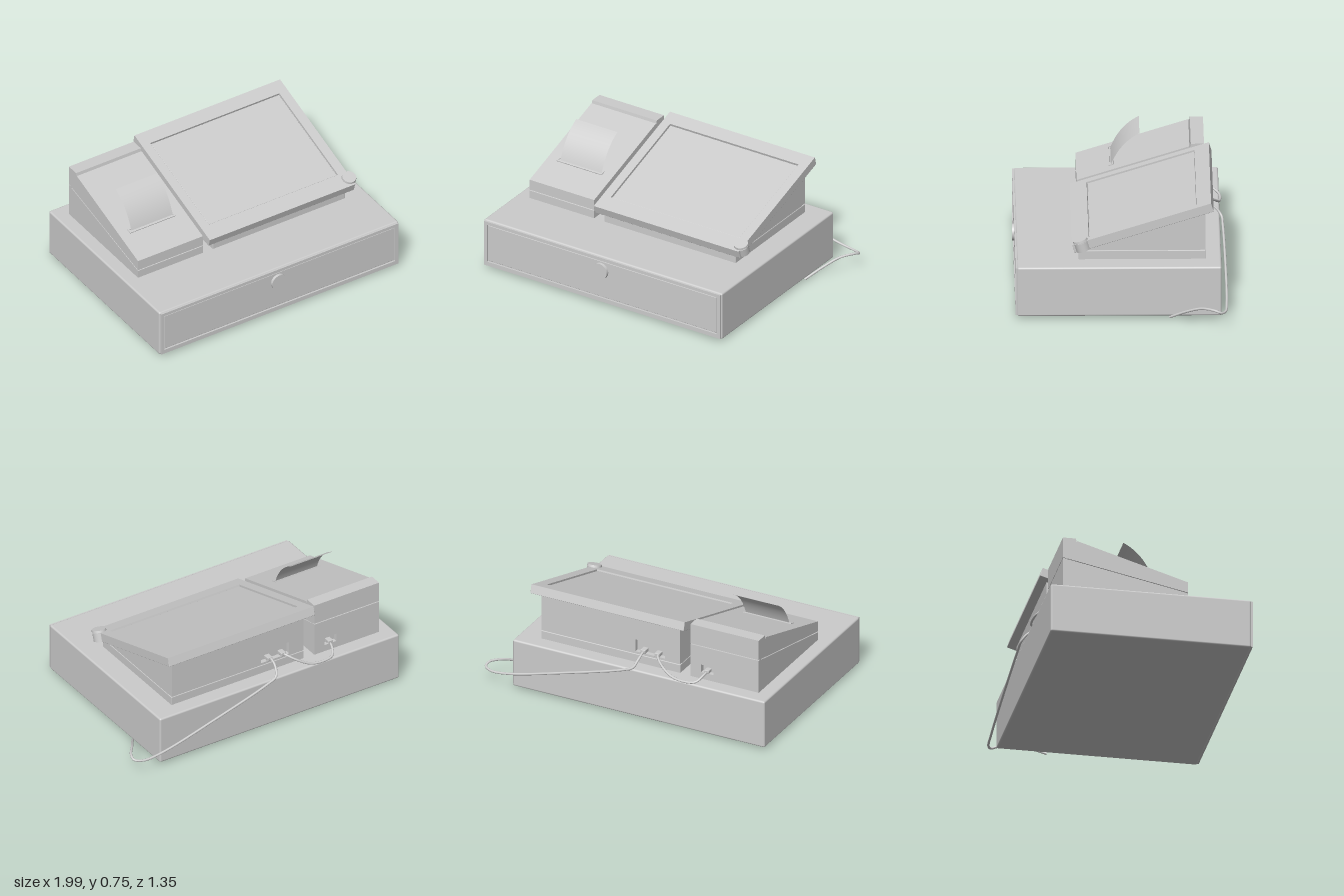
import * as THREE from 'three';
import { RoundedBoxGeometry } from 'three/addons/geometries/RoundedBoxGeometry.js';

const grey = new THREE.MeshStandardMaterial({ color: 0xcccccc });
const thin = new THREE.MeshStandardMaterial({ color: 0xcccccc, side: THREE.DoubleSide });
const tilt = Math.atan(0.314); // slope of screen and printer lid

function add(parent, name, geometry, material = grey) {
  const mesh = new THREE.Mesh(geometry, material);
  mesh.name = name;
  parent.add(mesh);
  return mesh;
}

function group(parent, name, x, y, z) {
  const g = new THREE.Group();
  g.name = name;
  g.position.set(x, y, z);
  parent.add(g);
  return g;
}

// Box given by its limits
function block(parent, name, [x0, x1], [y0, y1], [z0, z1], r = 0.004) {
  const mesh = add(parent, name, new RoundedBoxGeometry(x1 - x0, y1 - y0, z1 - z0, 2, r));
  mesh.position.set((x0 + x1) / 2, (y0 + y1) / 2, (z0 + z1) / 2);
  return mesh;
}

// Rectangular plate with a rectangular hole, from z0 to z1
function plate(parent, name, outer, hole, z0, z1) {
  const corners = ([x0, x1, y0, y1]) =>
    [[x0, y0], [x1, y0], [x1, y1], [x0, y1]].map(p => new THREE.Vector2(...p));
  const shape = new THREE.Shape(corners(outer));
  shape.holes.push(new THREE.Path(corners(hole)));
  const geo = new THREE.ExtrudeGeometry(shape, { depth: z1 - z0, bevelEnabled: false });
  geo.translate(0, 0, z0);
  return add(parent, name, geo);
}

// Side profile of [z, y] points, extruded from x0 to x1
function profile(parent, name, points, x0, x1) {
  const shape = new THREE.Shape(points.map(p => new THREE.Vector2(...p)));
  const geo = new THREE.ExtrudeGeometry(shape, { depth: x1 - x0, bevelEnabled: false });
  geo.rotateY(-Math.PI / 2).translate(x1, 0, 0);
  return add(parent, name, geo);
}

function cable(parent, name, points) {
  const curve = new THREE.CatmullRomCurve3(points.map(p => new THREE.Vector3(...p)), false, 'centripetal');
  return add(parent, name, new THREE.TubeGeometry(curve, 120, 0.008, 10));
}

export function createModel() {
  const model = new THREE.Group();
  model.name = 'cashRegister';

  // Cash drawer with a recessed front and round lock
  const drawer = group(model, 'cashDrawer', 0, 0, 0);
  block(drawer, 'drawerCase', [-1, 0.79], [0.018, 0.345], [-0.635, 0.65], 0.012);
  plate(drawer, 'drawerFrontFrame', [-0.993, 0.783, 0.025, 0.338], [-0.97, 0.757, 0.053, 0.317], 0.64, 0.661);
  block(drawer, 'drawerFront', [-0.963, 0.75], [0.06, 0.31], [0.64, 0.655], 0.002);
  const lock = add(drawer, 'drawerLock', new THREE.CylinderGeometry(0.053, 0.055, 0.03, 40));
  lock.rotation.x = Math.PI / 2;
  lock.position.set(-0.115, 0.245, 0.657);

  // Terminal stand: base, wedge and rear panel with a port opening
  const terminal = group(model, 'terminal', 0, 0, 0);
  block(terminal, 'terminalBase', [-0.35, 0.64], [0.34, 0.402], [-0.535, 0.263]);
  profile(terminal, 'terminalWedge',
    [[0.258, 0.4], [0.258, 0.42], [-0.505, 0.67], [-0.505, 0.4]], -0.347, 0.637);
  plate(terminal, 'terminalRearPanel', [-0.347, 0.637, 0.405, 0.672], [-0.24, -0.03, 0.42, 0.505], -0.535, -0.505);
  for (const x of [-0.19, -0.09]) block(terminal, 'terminalPlug', [x - 0.018, x + 0.018], [0.425, 0.45], [-0.55, -0.5]);

  // Tilted screen: local y runs up the slope, local z is its normal
  const screen = group(terminal, 'screen', 0, 0.46, 0.305);
  screen.rotation.x = tilt - Math.PI / 2;
  const W = [-0.4, 0.69], L = 0.917;
  block(screen, 'screenBack', W, [0, L], [-0.058, -0.016], 0.003);
  plate(screen, 'screenBezel', [...W, 0, L], [-0.34, 0.627, 0.11, 0.823], -0.02, 0);
  block(screen, 'displayPanel', [-0.334, 0.621], [0.116, 0.817], [-0.03, -0.008], 0.002);

  // Round key reader on the corner of the screen
  const knob = group(terminal, 'keyReader', 0.675, 0.458, 0.245);
  knob.rotation.x = tilt;
  add(knob, 'keyReaderBody', new THREE.CylinderGeometry(0.045, 0.045, 0.056, 32)).position.y = -0.01;
  add(knob, 'keyReaderNeck', new THREE.CylinderGeometry(0.041, 0.041, 0.02, 32)).position.y = 0.02;
  add(knob, 'keyReaderCap', new THREE.CylinderGeometry(0.045, 0.047, 0.014, 32)).position.y = 0.03;

  // Receipt printer: lower body and lid separated by a sloping seam
  const printer = group(model, 'receiptPrinter', 0, 0, 0);
  const P = [-0.91, -0.425];
  profile(printer, 'printerBody',
    [[0.262, 0.343], [0.262, 0.398], [-0.51, 0.566], [-0.51, 0.343]], ...P);
  profile(printer, 'printerCore',
    [[0.252, 0.36], [0.252, 0.46], [-0.44, 0.68], [-0.505, 0.68], [-0.505, 0.36]], P[0] + 0.008, P[1] - 0.008);
  profile(printer, 'printerLid',
    [[0.262, 0.404], [0.262, 0.475], [-0.448, 0.698], [-0.452, 0.69], [-0.457, 0.715], [-0.54, 0.715], [-0.54, 0.578]], ...P);
  plate(printer, 'printerRearPanel', [...P, 0.343, 0.572], [-0.59, -0.5, 0.39, 0.445], -0.54, -0.51);
  block(printer, 'printerPlug', [-0.56, -0.525], [0.395, 0.418], [-0.552, -0.505]);

  // Paper slot lying on the lid slope
  const slot = group(printer, 'paperSlot', -0.67, 0.5425, 0.045);
  slot.rotation.x = tilt - Math.PI / 2;
  plate(slot, 'slotFrame', [-0.17, 0.17, -0.017, 0.017], [-0.16, 0.16, -0.008, 0.008], -0.005, 0.006);

  // Receipt curling backwards out of the slot
  const paper = new THREE.PlaneGeometry(0.31, 1, 1, 20);
  const curl = new THREE.QuadraticBezierCurve(
    new THREE.Vector2(0.048, 0.535), new THREE.Vector2(-0.007, 0.69), new THREE.Vector2(-0.135, 0.755));
  const pos = paper.attributes.position;
  for (let i = 0; i < pos.count; i++) {
    const p = curl.getPoint(pos.getY(i) + 0.5);
    pos.setXYZ(i, pos.getX(i) - 0.665, p.y, p.x);
  }
  paper.computeVertexNormals();
  add(printer, 'receiptPaper', paper, thin);

  // Power cable around the back corner and link cable to the printer
  cable(model, 'powerCable', [
    [-0.09, 0.437, -0.51], [-0.095, 0.437, -0.56], [-0.09, 0.41, -0.61], [-0.07, 0.365, -0.645],
    [0, 0.335, -0.652], [0.4, 0.22, -0.664], [0.8, 0.115, -0.667], [0.93, 0.1, -0.658],
    [0.982, 0.108, -0.63], [0.978, 0.122, -0.59], [0.92, 0.115, -0.51], [0.86, 0.075, -0.42], [0.785, 0.009, -0.31]]);
  cable(model, 'printerCable', [
    [-0.19, 0.437, -0.51], [-0.2, 0.435, -0.555], [-0.25, 0.405, -0.6], [-0.34, 0.362, -0.632],
    [-0.44, 0.354, -0.641], [-0.505, 0.362, -0.625], [-0.535, 0.392, -0.57], [-0.54, 0.406, -0.51]]);

  return model;
}
